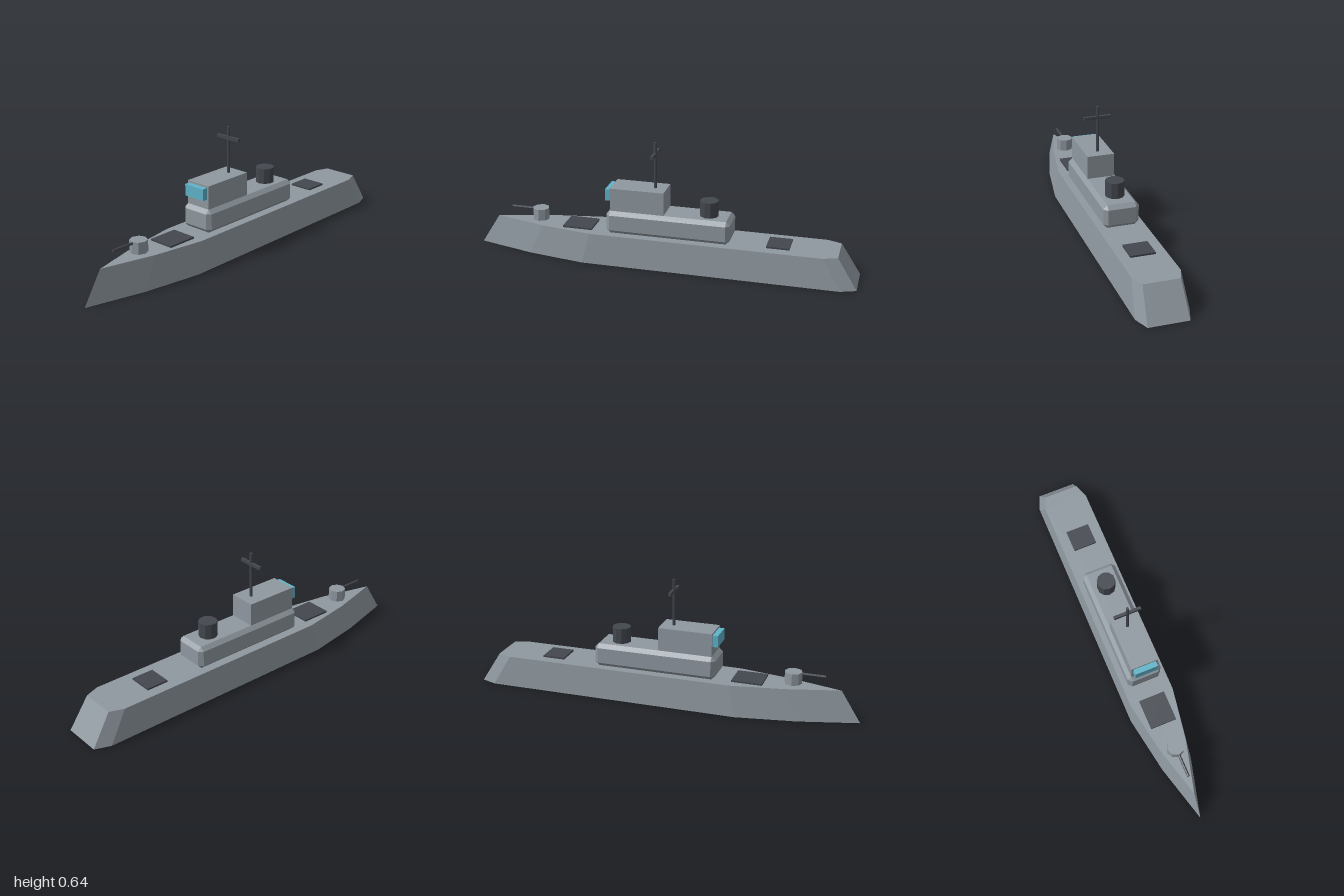
import * as THREE from 'three';
import { ConvexGeometry } from 'three/addons/geometries/ConvexGeometry.js';

const paint = (name, color) => {
  const m = new THREE.MeshStandardMaterial({ color });
  m.name = name;
  m.flatShading = true;
  return m;
};

// Box whose edges and corners are all cut by b
function chamferedBox(w, h, d, b) {
  const x = w / 2, y = h / 2, z = d / 2, points = [];
  for (const i of [-1, 1]) for (const j of [-1, 1]) for (const k of [-1, 1]) {
    points.push(
      new THREE.Vector3(i * x, j * (y - b), k * (z - b)),
      new THREE.Vector3(i * (x - b), j * y, k * (z - b)),
      new THREE.Vector3(i * (x - b), j * (y - b), k * z));
  }
  return new ConvexGeometry(points);
}

// Hull from its half outline, tapering towards the deck
function hullGeometry() {
  const outline = [[0, 1], [0.08, 0.7], [0.13, 0.4], [0.13, -0.92], [0.1, -1]];
  const points = [];
  for (const [y, s] of [[0, 1], [0.16, 0.9]]) {
    for (const [x, z] of outline) {
      points.push(new THREE.Vector3(x * s, y, z * s));
      if (x > 0) points.push(new THREE.Vector3(-x * s, y, z * s));
    }
  }
  return new ConvexGeometry(points);
}

export function createModel() {
  const model = new THREE.Group();
  model.name = 'patrolShip';
  const grey = paint('shipGrey', 0x8f98a0);
  const dark = paint('darkGrey', 0x43474e);
  const glass = paint('windowBlue', 0x5fb3c9);

  const add = (name, geometry, material, x, y, z) => {
    const mesh = new THREE.Mesh(geometry, material);
    mesh.name = name;
    mesh.position.set(x, y, z);
    model.add(mesh);
    return mesh;
  };
  const box = (w, h, d) => new THREE.BoxGeometry(w, h, d);
  const tube = (r, h, sides) => new THREE.CylinderGeometry(r, r, h, sides);

  // Hull and superstructure
  add('hull', hullGeometry(), grey, 0, 0, 0);
  add('deckhouse', chamferedBox(0.18, 0.12, 0.64, 0.02), grey, 0, 0.22, -0.04);
  add('bridge', box(0.14, 0.12, 0.28), grey, 0, 0.34, 0.12);
  add('bridgeWindow', box(0.12, 0.06, 0.03), glass, 0, 0.36, 0.273);

  // Mast and funnel
  add('mast', tube(0.008, 0.24, 8), dark, 0, 0.52, 0.04);
  add('mastYard', box(0.14, 0.016, 0.015), dark, 0, 0.581, 0.04);
  add('funnel', tube(0.048, 0.08, 10), dark, 0, 0.32, -0.24);

  // Forward gun
  add('gunTurret', tube(0.044, 0.06, 8), grey, 0, 0.2, 0.66);
  add('gunBarrel', tube(0.007, 0.14, 8), dark, 0, 0.222, 0.75).rotation.x = Math.PI / 2;

  // Deck hatches
  add('foreHatch', box(0.136, 0.01, 0.156), dark, 0, 0.164, 0.44);
  add('aftHatch', box(0.124, 0.01, 0.116), dark, 0, 0.164, -0.6);

  return model;
}
